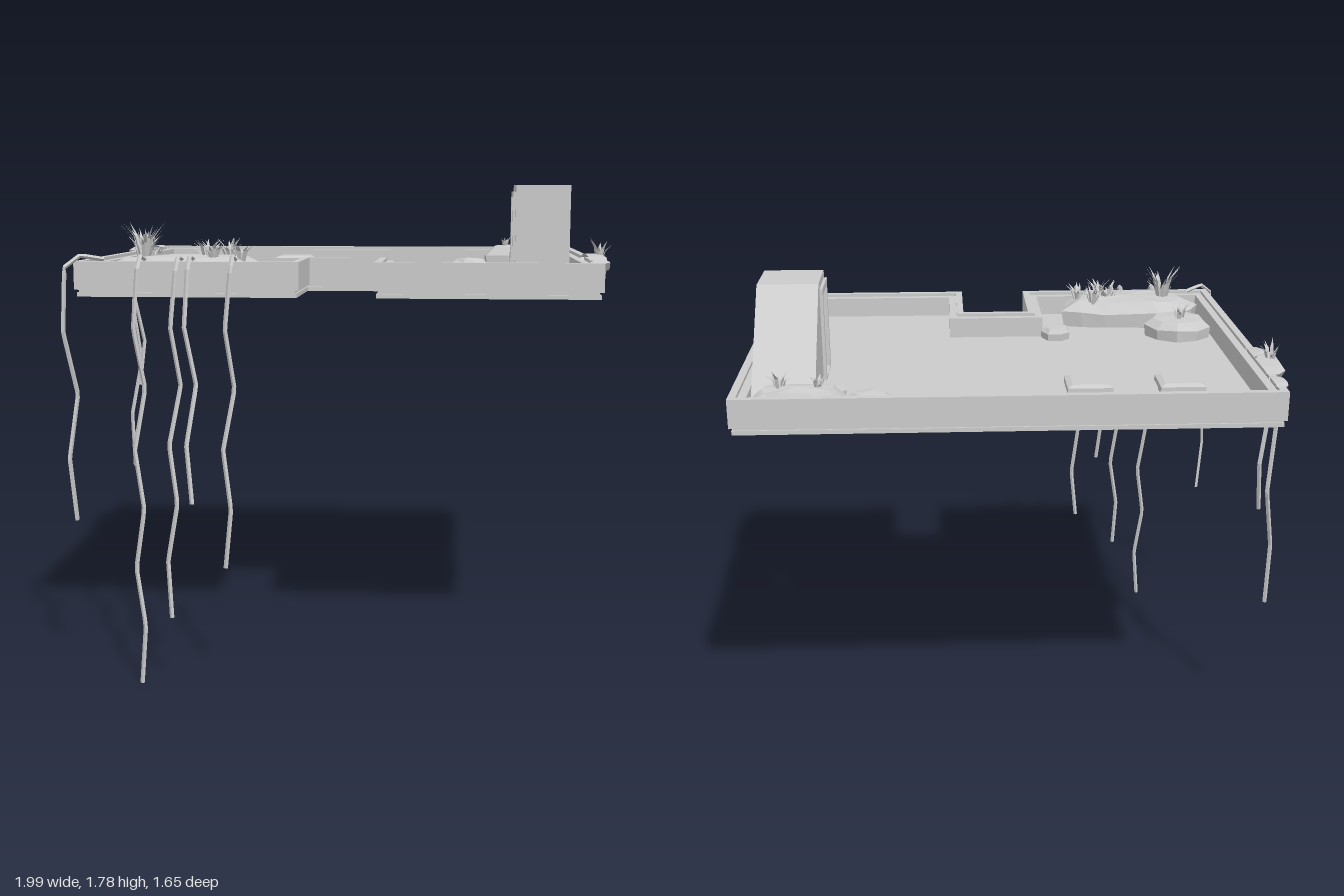
import * as THREE from 'three';

const stone = new THREE.MeshStandardMaterial({ color: 0xcccccc, flatShading: true });
const thin = new THREE.MeshStandardMaterial({ color: 0xcccccc, flatShading: true, side: THREE.DoubleSide });

let seed = 7;
const rnd = () => (seed = (seed * 16807) % 2147483647) / 2147483647;
const FLOOR = 1.42, LIP = 1.51;

function add(parent, name, geometry, material = stone) {
  const mesh = new THREE.Mesh(geometry, material);
  mesh.name = name;
  parent.add(mesh);
  return mesh;
}

// Roof footprint with its front notch, moved inwards by d
function outline(d) {
  const x0 = -0.92 + d, x1 = 0.93 - d, z0 = -0.82 + d, z1 = 0.665 - d;
  const n0 = -0.123 - d, n1 = 0.139 + d, nz = 0.305 - d;
  return [[x0, z0], [x1, z0], [x1, z1], [n1, z1], [n1, nz], [n0, nz], [n0, z1], [x0, z1]]
    .map(p => new THREE.Vector2(...p));
}

const rect = (a0, b0, a1, b1) =>
  [[a0, b0], [a1, b0], [a1, b1], [a0, b1]].map(p => new THREE.Vector2(...p));

function extrude(points, hole, depth) {
  const shape = new THREE.Shape(points);
  if (hole) shape.holes.push(new THREE.Path(hole));
  return new THREE.ExtrudeGeometry(shape, { depth, bevelEnabled: false });
}

// Horizontal slab from a plan shape
const slab = (points, hole, bottom, top) =>
  extrude(points, hole, top - bottom).rotateX(Math.PI / 2).translate(0, top, 0);

// Upright panel in the zy plane, from x to x + thickness
const sidePanel = (points, hole, x, thickness) =>
  extrude(points, hole, thickness).rotateY(-Math.PI / 2).translate(x + thickness, 0, 0);

// Faceted lump on a superellipse (power < 1 boxy, > 1 pointed), rising through uneven rings
function lump(cu, cv, ru, rv, n, low, high, power = 1, map = (u, v, h) => [u, h, v]) {
  const pos = [], idx = [];
  const bend = t => Math.sign(t) * Math.abs(t) ** power;
  const wobble = Array.from({ length: n }, () => 0.92 + rnd() * 0.16);
  [[0.96, 0], [1, 0.55], [0.74, 0.9]].forEach(([scale, rise], ring) => {
    for (let i = 0; i < n; i++) {
      const a = i / n * Math.PI * 2, r = scale * wobble[i];
      const k = ring ? (rnd() - 0.5) * 0.12 : 0;
      pos.push(...map(cu + ru * r * bend(Math.cos(a)), cv - rv * r * bend(Math.sin(a)),
        low + (high - low) * (rise + k)));
    }
  });
  pos.push(...map(cu, cv, high));
  for (let i = 0; i < n; i++) {
    const j = (i + 1) % n;
    for (const r of [0, n]) idx.push(r + i, r + j, r + n + i, r + j, r + n + j, r + n + i);
    idx.push(2 * n + i, 2 * n + j, 3 * n);
  }
  const indexed = new THREE.BufferGeometry();
  indexed.setAttribute('position', new THREE.Float32BufferAttribute(pos, 3));
  indexed.setIndex(idx);
  const g = indexed.toNonIndexed();
  g.computeVertexNormals();
  return g;
}

// Moss lying over a side wall: flat on top, sagging to a point below (side is +1 or -1)
const wallMoss = (side, z, halfLength, sag, reach) =>
  lump(z, LIP, halfLength, sag, 8, 0.89, reach, 1.25,
    (u, v, h) => [side * h, v > LIP ? LIP + (v - LIP) * 0.22 : v, u]);

// Tuft of bent, tapering blades
function grass(x, y, z, count, height, spread) {
  const pos = [];
  for (let i = 0; i < count; i++) {
    const a = i * 2.4 + rnd(), h = height * (0.45 + 0.55 * rnd()), lean = spread * (0.4 + 0.6 * rnd());
    const c = Math.cos(a), s = Math.sin(a), w = 0.006;
    const at = (r, dy, side) => [x + c * r - s * side, y + dy, z + s * r + c * side];
    const p = [at(lean * 0.2, -0.02, -w), at(lean * 0.2, -0.02, w),
      at(lean * 0.5, h * 0.6, -w), at(lean * 0.5, h * 0.6, w), at(lean, h, 0)];
    [0, 1, 2, 1, 3, 2, 2, 3, 4].forEach(k => pos.push(...p[k]));
  }
  const g = new THREE.BufferGeometry();
  g.setAttribute('position', new THREE.Float32BufferAttribute(pos, 3));
  g.computeVertexNormals();
  return g;
}

// Vine: rooted inwards (dx, dz), over the lip at (x, z), then zigzagging down to its tip
function vine(x, z, dx, dz, tipX, tipY, tipZ) {
  const lip = new THREE.Vector3(x, 1.49, z), tip = new THREE.Vector3(tipX, tipY, tipZ);
  const points = [new THREE.Vector3(x + dx, 1.515, z + dz),
    new THREE.Vector3(x + dx * 0.4, 1.53, z + dz * 0.4), lip];
  const steps = Math.round((1.49 - tipY) / 0.22);
  for (let i = 1; i < steps; i++) {
    const p = lip.clone().lerp(tip, i / steps);
    p.x += i % 2 ? -0.014 : 0.017;
    p.z += i === 2 ? -0.03 : 0.008;
    points.push(p);
  }
  points.push(tip);
  const path = new THREE.CurvePath();
  for (let i = 1; i < points.length; i++) path.add(new THREE.LineCurve3(points[i - 1], points[i]));
  return new THREE.TubeGeometry(path, 48, 0.008, 4);
}

export function createModel() {
  seed = 7;
  const model = new THREE.Group();
  model.name = 'rooftop';

  // Parapet: main band, raised outer lip, recessed lower rim
  add(model, 'parapetWall', slab(outline(0), outline(0.056), 1.41, 1.498));
  add(model, 'parapetLip', slab(outline(0), outline(0.027), 1.498, LIP));
  add(model, 'parapetGroove', slab(outline(0.014), outline(0.056), 1.4, 1.41));
  add(model, 'lowerRim', slab(outline(0.008), outline(0.05), 1.385, 1.4));

  // Floor, open under the stair house
  add(model, 'roofFloor', slab(outline(0.045), rect(0.67, -0.66, 0.86, -0.125), 1.407, FLOOR));

  // Stair house: two sides, front, roof and slope, with an open doorway
  const house = new THREE.Group();
  house.name = 'stairHouse';
  model.add(house);
  const profile = [[-0.71, FLOOR], [-0.113, FLOOR], [-0.113, 1.78], [-0.345, 1.78]]
    .map(p => new THREE.Vector2(...p));
  const door = rect(-0.3, 1.425, -0.145, 1.73);
  add(house, 'doorSide', sidePanel(profile, door, 0.657, 0.012));
  add(house, 'outerSide', sidePanel(profile, null, 0.861, 0.012));
  add(house, 'doorFrame', sidePanel(rect(-0.32, FLOOR, -0.125, 1.755), door, 0.646, 0.02));
  const width = 0.215, cx = 0.765;
  add(house, 'frontWall', new THREE.BoxGeometry(width, 0.36, 0.01).translate(cx, 1.6, -0.118));
  add(house, 'roof', new THREE.BoxGeometry(width, 0.01, 0.23).translate(cx, 1.775, -0.229));
  const slope = add(house, 'slope', new THREE.BoxGeometry(width, 0.01, Math.hypot(0.365, 0.36)));
  slope.position.set(cx, 1.597, -0.524);
  slope.rotation.x = -Math.atan2(0.36, 0.365);

  // Two vents with overhanging, bevelled caps
  for (const x of [-0.602, -0.28]) {
    const vent = new THREE.Group();
    vent.name = 'vent';
    vent.position.set(x, FLOOR, -0.55);
    model.add(vent);
    add(vent, 'ventBase', new THREE.BoxGeometry(0.13, 0.035, 0.13).translate(0, 0.017, 0));
    add(vent, 'ventCap', new THREE.BoxGeometry(0.157, 0.02, 0.157).translate(0, 0.042, 0));
    add(vent, 'ventTop', new THREE.CylinderGeometry(0.085, 0.111, 0.008, 4)
      .rotateY(Math.PI / 4).translate(0, 0.056, 0));
  }

  // Moss mounds in the corners
  add(model, 'frontMoss', lump(-0.555, 0.495, 0.285, 0.137, 14, FLOOR, 1.53, 0.6));
  add(model, 'backMoss', lump(0.71, -0.722, 0.17, 0.075, 10, FLOOR, 1.525, 0.7));

  // Loose rubble: x, z, half sizes, sides, top
  for (const [x, z, rx, rz, sides, top] of [
    [-0.73, 0.245, 0.13, 0.12, 9, 1.5], [-0.235, 0.23, 0.06, 0.065, 7, 1.47],
    [0.475, -0.615, 0.08, 0.052, 7, 1.47], [0.61, -0.5, 0.045, 0.038, 6, 1.455],
  ]) add(model, 'rubble', lump(x, z, rx, rz, sides, FLOOR, top));

  // Moss hanging over the side walls
  add(model, 'leftWallMoss', wallMoss(1, 0.35, 0.18, 0.095, 0.962), thin);
  add(model, 'leftWallMoss', wallMoss(1, 0.6, 0.06, 0.035, 0.952), thin);
  add(model, 'rightWallMoss', wallMoss(-1, -0.45, 0.18, 0.085, 0.97), thin);
  add(model, 'rightWallMoss', wallMoss(-1, -0.7, 0.06, 0.04, 0.94), thin);

  // Grass tufts: x, y, z, blades, height, spread
  for (const tuft of [
    [-0.7, 1.52, 0.51, 26, 0.13, 0.09], [-0.47, 1.52, 0.5, 14, 0.07, 0.08], [-0.4, 1.52, 0.42, 14, 0.07, 0.07],
    [-0.35, 1.51, 0.52, 12, 0.06, 0.07], [-0.44, 1.52, 0.57, 10, 0.07, 0.06], [-0.73, 1.49, 0.22, 9, 0.08, 0.06],
    [-0.94, 1.51, -0.46, 14, 0.08, 0.06], [0.94, 1.51, 0.36, 12, 0.08, 0.05],
    [0.77, 1.515, -0.71, 12, 0.07, 0.06], [0.64, 1.51, -0.72, 7, 0.05, 0.04],
  ]) add(model, 'grassTuft', grass(...tuft), thin);

  // Vines over the front edge, the corner and the right wall
  for (const v of [
    [-0.68, 0.72, 0, -0.12, -0.685, 0.004, 0.765], [-0.545, 0.72, 0, -0.12, -0.565, 0.26, 0.795],
    [-0.505, 0.71, 0, -0.12, -0.48, 0.68, 0.825], [-0.355, 0.71, 0, -0.12, -0.38, 0.43, 0.74],
    [-0.945, 0.69, 0.12, -0.08, -0.93, 0.58, 0.68],
    [-0.95, -0.41, 0.06, 0, -0.95, 0.92, -0.405], [-0.96, -0.455, 0.06, 0, -0.99, 0.55, -0.445],
  ]) add(model, 'vine', vine(...v), thin);

  return model;
}
